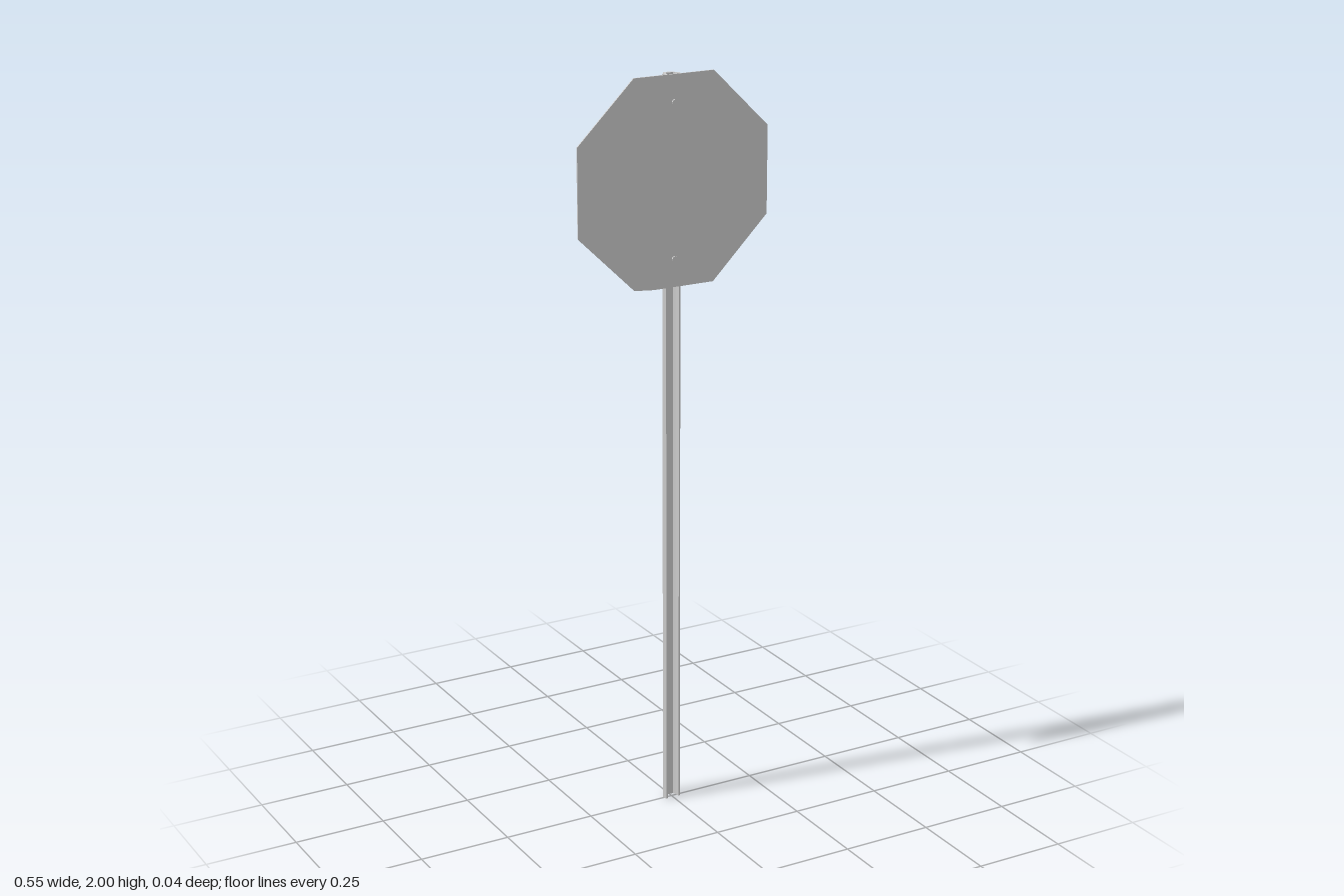
import * as THREE from 'three';

const grey = new THREE.MeshStandardMaterial({ color: 0xcccccc });
grey.name = 'galvanised grey';

// Extrudes an outline given as [x, y] points
function extrude(points, depth) {
  const shape = new THREE.Shape(points.map(([x, y]) => new THREE.Vector2(x, y)));
  return new THREE.ExtrudeGeometry(shape, { depth, bevelEnabled: false });
}

export function createModel() {
  const group = new THREE.Group();
  group.name = 'roadSign';
  const add = (name, geometry) => {
    const mesh = new THREE.Mesh(geometry, grey);
    mesh.name = name;
    group.add(mesh);
    return mesh;
  };

  // Hat-channel post: half outline as [x, z], mirrored, open towards the plate
  const half = [
    [0.012, -0.021], [0.018, -0.005], [0.025, -0.003], [0.023, 0.004], [0.021, 0.0095],
    [0.017, 0.0095], [0.014, -0.003], [0.011, -0.011],
  ];
  const outline = [...half, ...half.map(([x, z]) => [-x, z]).reverse()];
  const post = extrude(outline.map(([x, z]) => [x, -z]), 2);
  post.rotateX(-Math.PI / 2);
  add('post', post);

  // Thin octagonal plate
  const r = 0.275, c = 0.115, cy = 1.725;
  const octagon = [
    [c, -r], [r, -c], [r, c + 0.003], [c, r], [-c, r], [-r, c + 0.003], [-r, -c], [-c, -r + 0.005], [-0.06, -r],
  ];
  const plate = extrude(octagon, 0.004);
  plate.translate(0, cy, 0.01);
  add('signPlate', plate);

  // Bolt heads on the front of the plate
  for (const [name, y] of [['upperBolt', 1.93], ['lowerBolt', 1.525]]) {
    const bolt = new THREE.CylinderGeometry(0.007, 0.007, 0.006, 8).toNonIndexed();
    bolt.rotateX(Math.PI / 2);
    bolt.computeVertexNormals();
    add(name, bolt).position.set(0, y, 0.0155);
  }
  return group;
}
